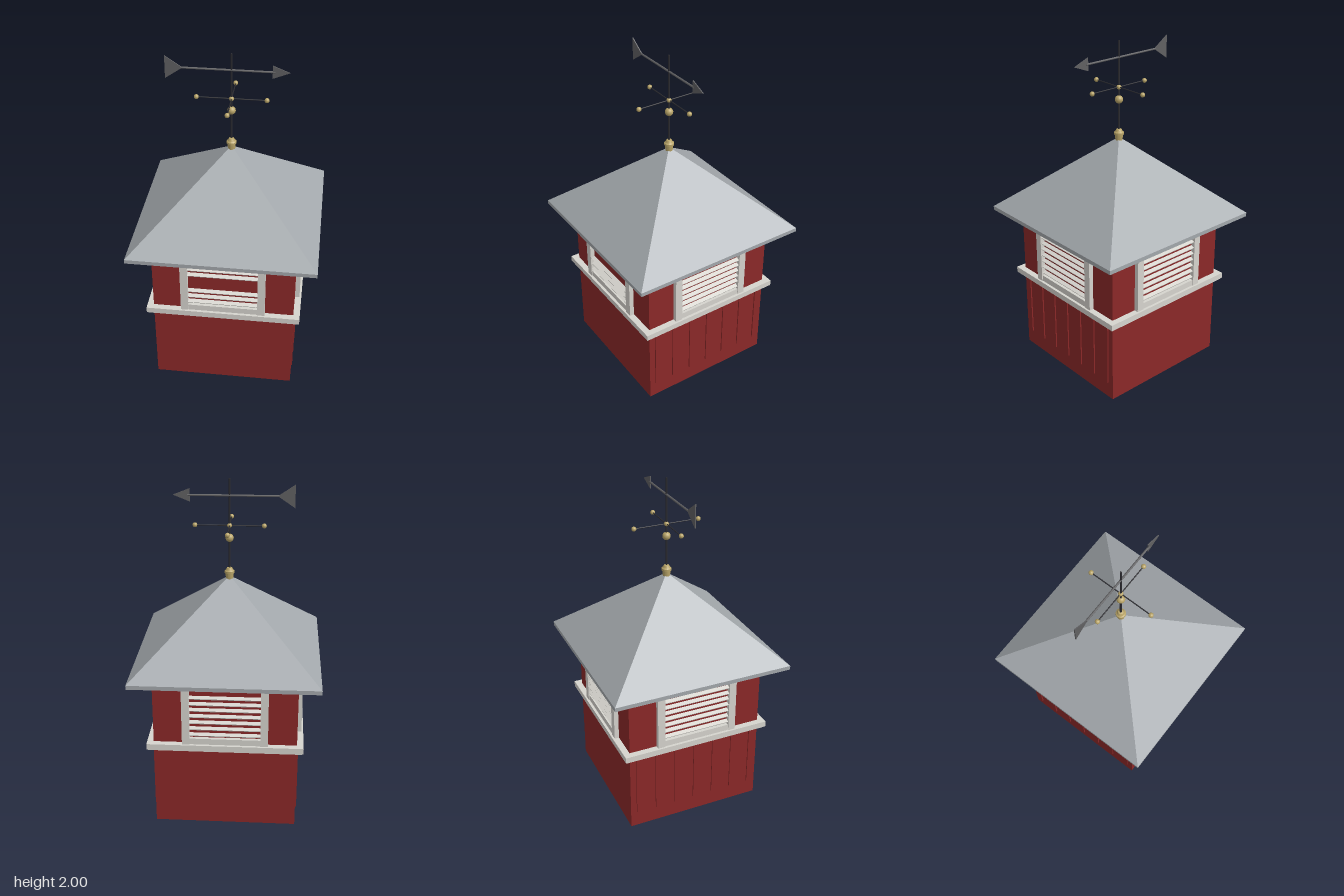
import * as THREE from 'three';

const material = (name, color, options = {}) => {
  const m = new THREE.MeshStandardMaterial({ color, ...options });
  m.name = name;
  return m;
};

export function createModel() {
  const red = material('barn red', 0x8b2828);
  const white = material('trim white', 0xd6d4ce);
  const slate = material('roof grey', 0xa3a8ac);
  const iron = material('dark iron', 0x2b2b30);
  const steel = material('vane grey', 0x606062);
  const brass = material('brass', 0xb8a468);

  const model = new THREE.Group();
  model.name = 'cupola';

  const add = (parent, name, geometry, mat, x = 0, y = 0, z = 0) => {
    const mesh = new THREE.Mesh(geometry, mat);
    mesh.name = name;
    mesh.position.set(x, y, z);
    parent.add(mesh);
    return mesh;
  };
  // Box given by its size and its lower and upper heights
  const slab = (parent, name, mat, w, y0, y1, d, x = 0, z = 0) =>
    add(parent, name, new THREE.BoxGeometry(w, y1 - y0, d), mat, x, (y0 + y1) / 2, z);

  // Body with belt and cornice
  const wall = 0.417;
  slab(model, 'body', red, wall * 2, 0, 0.94, wall * 2);
  slab(model, 'belt', white, 0.91, 0.51, 0.545, 0.91);
  slab(model, 'beltLip', white, 0.895, 0.502, 0.51, 0.895);
  slab(model, 'cornice', white, 0.86, 0.912, 0.94, 0.86);

  // Louvred window on each of the four sides, battens on the two flanks
  const slatHeights = [0.605, 0.645, 0.685, 0.725, 0.765, 0.803, 0.842];
  ['front', 'left', 'back', 'right'].forEach((side, i) => {
    const face = new THREE.Group();
    face.name = side + 'Face';
    face.rotation.y = i * Math.PI / 2;
    model.add(face);

    for (const s of [-1, 1]) slab(face, 'windowPost', white, 0.044, 0.545, 0.94, 0.04, s * 0.227, 0.424);
    slab(face, 'windowSill', white, 0.41, 0.545, 0.582, 0.03, 0, 0.424);

    slatHeights.forEach((y, k) => {
      if (side === 'front' && (k === 3 || k === 4)) return; // two slats lost on the front
      const slat = add(face, 'slat', new THREE.BoxGeometry(0.41, 0.006, 0.026), white, 0, y, 0.426);
      slat.rotation.x = 0.4;
    });

    if (i % 2) {
      for (let k = -3; k <= 3; k++) slab(face, 'batten', red, 0.02, 0.1, 0.502, 0.016, k * 0.1233, 0.417);
    }
  });

  // Pyramid roof on a thin eave
  const eave = 0.542;
  slab(model, 'eave', slate, eave * 2, 0.939, 0.963, eave * 2);
  const pyramid = new THREE.ConeGeometry(eave * Math.SQRT2, 0.467, 4, 1, true).rotateY(Math.PI / 4).toNonIndexed();
  pyramid.computeVertexNormals();
  add(model, 'roof', pyramid, slate, 0, 0.963 + 0.467 / 2, 0);

  // Finial
  const profile = [[0, 1.41], [0.021, 1.41], [0.024, 1.445], [0.029, 1.447], [0.029, 1.459], [0.022, 1.465], [0.015, 1.478], [0, 1.482]];
  const finial = new THREE.LatheGeometry(profile.map(([r, y]) => new THREE.Vector2(r, y)), 20).toNonIndexed();
  finial.computeVertexNormals();
  add(model, 'finial', finial, brass);

  // Weathervane: mast, balls and compass arms
  const vane = new THREE.Group();
  vane.name = 'weathervane';
  model.add(vane);
  const ball = (name, r, x, y, z) => add(vane, name, new THREE.SphereGeometry(r, 18, 12), brass, x, y, z);
  add(vane, 'mast', new THREE.CylinderGeometry(0.005, 0.006, 0.54, 10), iron, 0, 1.73, 0);
  ball('mastBall', 0.024, 0, 1.657, 0);
  ball('hubBall', 0.014, 0, 1.73, 0);
  for (const along of ['x', 'z']) {
    const arm = add(vane, 'compassArm', new THREE.CylinderGeometry(0.0035, 0.0035, 0.4, 8), iron, 0, 1.73, 0);
    arm.rotation[along === 'x' ? 'z' : 'x'] = Math.PI / 2;
    for (const s of [-0.198, 0.198]) ball('compassBall', 0.014, along === 'x' ? s : 0, 1.73, along === 'z' ? s : 0);
  }

  // Arrow with flat head and tail
  const shaft = add(vane, 'arrowShaft', new THREE.CylinderGeometry(0.006, 0.006, 0.52, 8), steel, -0.02, 1.903, 0);
  shaft.rotation.z = Math.PI / 2;
  const plate = (name, baseX, tipX, half) => {
    const shape = new THREE.Shape([[baseX, -half], [tipX, 0], [baseX, half]].map(([x, y]) => new THREE.Vector2(x, y)));
    const geometry = new THREE.ExtrudeGeometry(shape, { depth: 0.006, bevelEnabled: false });
    add(vane, name, geometry, steel, 0, 1.903, -0.003);
  };
  plate('arrowHead', 0.225, 0.32, 0.038);
  plate('arrowTail', -0.37, -0.272, 0.067);

  return model;
}
